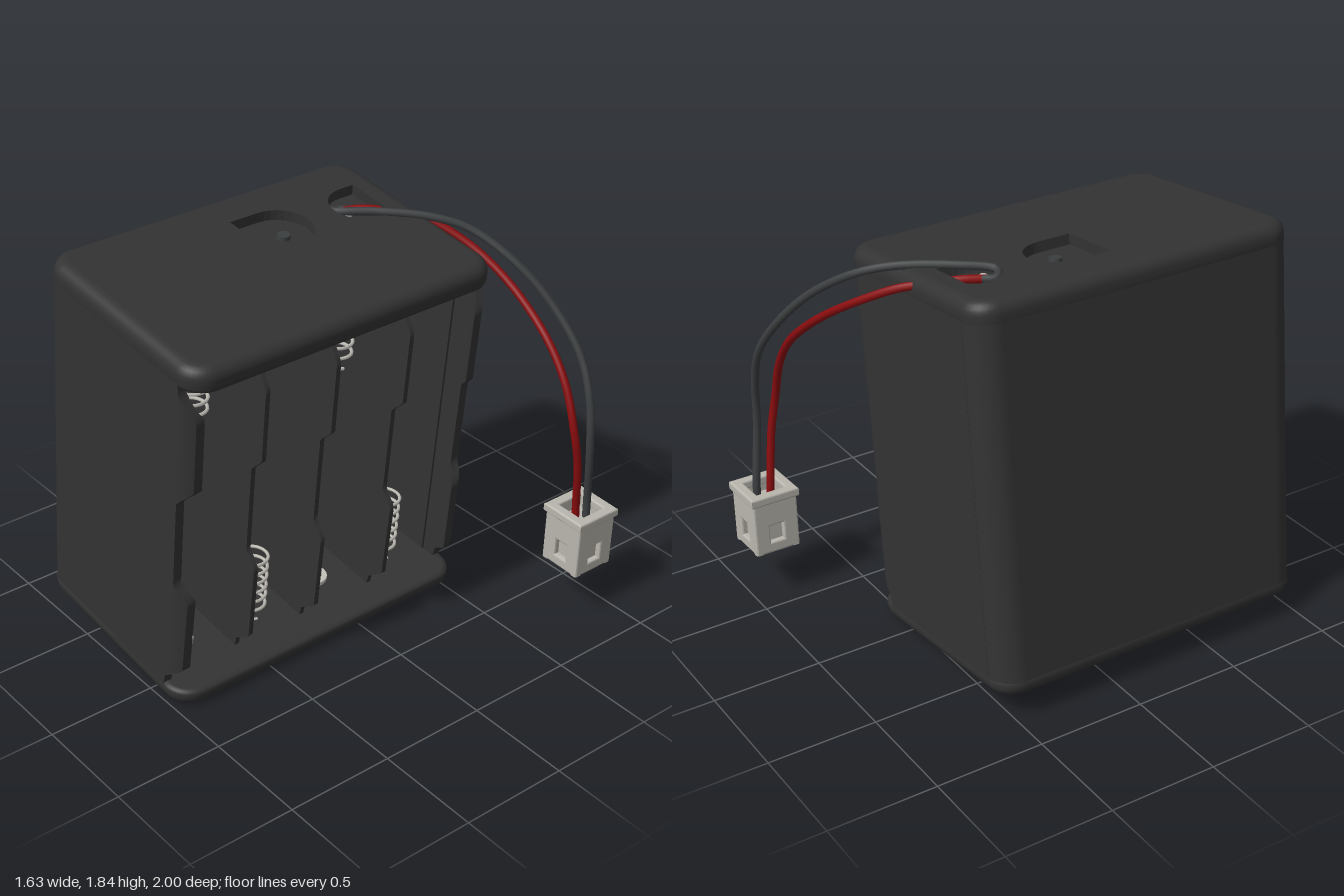
import * as THREE from 'three';
import { RoundedBoxGeometry } from 'three/addons/geometries/RoundedBoxGeometry.js';

const mat = (name, color, side = THREE.FrontSide) => {
  const m = new THREE.MeshStandardMaterial({ color, side });
  m.name = name;
  return m;
};

// Case size in its own frame: depth (x), height (y), half width (z)
const D = 1.06, H = 1.748, W = 0.785, R = 0.12;

export function createModel() {
  const black = mat('black plastic', 0x333333);
  const metal = mat('spring steel', 0xc4c1ba);
  const red = mat('red wire', 0x8a0c0e);
  const grey = mat('dark grey wire', 0x3b3e3f);
  const white = mat('off-white plastic', 0xb9b6ae);

  const model = new THREE.Group();
  const box = new THREE.Group();
  box.name = 'batteryCase';
  box.position.set(-0.825, 0.118, 0.215);
  box.rotation.z = -0.1134;
  model.add(box);

  const add = (parent, name, geo, material, x = 0, y = 0, z = 0) => {
    const m = new THREE.Mesh(geo, material);
    m.name = name;
    m.position.set(x, y, z);
    parent.add(m);
    return m;
  };

  // Rounded rectangle outline of the case in plan
  const outline = (inset) => {
    const pts = [], r = R - inset;
    const corners = [[D - R, R - W], [D - R, W - R], [R, W - R], [R, R - W]];
    corners.forEach(([cx, cy], k) => {
      for (let i = 0; i <= 8; i++) {
        const a = (k - 1 + i / 8) * Math.PI / 2;
        pts.push(new THREE.Vector2(cx + r * Math.cos(a), cy + r * Math.sin(a)));
      }
    });
    return pts;
  };
  const slab = (shape, depth) =>
    new THREE.ExtrudeGeometry(shape, { depth, bevelEnabled: false, curveSegments: 16 }).rotateX(-Math.PI / 2);

  // Rounded skin through plan outlines, rows of [inset, height] from low to high
  const rim = (rows) => {
    const pos = [], idx = [], n = 36;
    rows.forEach(([inset, y]) => outline(inset).forEach((p) => pos.push(p.x, y, -p.y)));
    for (let i = 0; i < rows.length - 1; i++) {
      for (let j = 0; j < n; j++) {
        const a = i * n + j, b = i * n + (j + 1) % n;
        idx.push(a, b, b + n, a, b + n, a + n);
      }
    }
    const g = new THREE.BufferGeometry();
    g.setAttribute('position', new THREE.Float32BufferAttribute(pos, 3));
    g.setIndex(idx);
    g.computeVertexNormals();
    return g;
  };
  const E = 0.055;
  const topRows = [[0.02, 1.64], [0.006, 1.646], [0, 1.66]];
  for (let i = 0; i <= 6; i++) {
    const a = i / 6 * Math.PI / 2;
    topRows.push([E * (1 - Math.cos(a)), H - E + E * Math.sin(a)]);
  }
  const bottomRows = topRows.map(([inset, y]) => [inset, (H - y) * (y < 1.67 ? 0.8 : 1)]).reverse();

  // D-shaped recess: flat end at yFlat, round end about yMid
  const recess = (x, yFlat, yMid, r) => {
    const s = Math.sign(yMid - yFlat), pts = [new THREE.Vector2(x - s * r, yFlat), new THREE.Vector2(x + s * r, yFlat)];
    for (let i = 0; i <= 16; i++) {
      const a = i / 16 * Math.PI;
      pts.push(new THREE.Vector2(x + s * r * Math.cos(a), yMid + s * r * Math.sin(a)));
    }
    return new THREE.Path(pts);
  };

  // Top and bottom caps
  const lid = new THREE.Shape(outline(E));
  lid.holes.push(recess(0.362, 0.665, 0.591, 0.136), recess(0.352, 0.015, 0.165, 0.15));
  add(box, 'topRim', rim(topRows), black);
  add(box, 'topPlate', slab(lid, 0.05), black, 0, H - 0.05);
  add(box, 'topSlab', slab(new THREE.Shape(outline(0.02)), 0.06), black, 0, 1.64);
  add(box, 'bottomRim', rim(bottomRows), black);
  add(box, 'bottomPlate', slab(new THREE.Shape(outline(E)), 0.03), black);
  add(box, 'bottomSlab', slab(new THREE.Shape(outline(0.02)), 0.066), black, 0, 0.02);
  add(box, 'wireRivet', new THREE.SphereGeometry(0.027, 14, 8), metal, 0.355, H - 0.04, -0.53);
  add(box, 'recessRivet', new THREE.CylinderGeometry(0.028, 0.03, 0.02, 16), grey, 0.362, H - 0.04, -0.18);

  // Back wall with rounded corners, open to the front
  const shell = new THREE.Shape();
  const o = W - 0.001, t = 0.05, f = 0.86;
  shell.moveTo(f, o).lineTo(R, o).absarc(R, o - R, R - 0.001, Math.PI / 2, Math.PI, false);
  shell.lineTo(0.001, R - o).absarc(R, R - o, R - 0.001, Math.PI, Math.PI * 1.5, false);
  shell.lineTo(f, -o).lineTo(f, t - o).lineTo(0.08, t - o).lineTo(0.08, o - t).lineTo(f, o - t);
  add(box, 'backShell', slab(shell, H - 0.11), black, 0, 0.055);

  // Notched front edge shared by the side walls and dividers: [height, depth]
  const edge = [[0.05, 0.92], [0.137, 0.935], [0.2, 1.018], [0.59, 1.027], [0.656, 0.967],
    [1.089, 0.968], [1.156, 1.031], [1.508, 1.031], [1.61, 0.96], [1.66, 0.955]];
  const edgeAt = (y) => {
    const i = Math.max(1, edge.findIndex((p) => p[0] >= y));
    const [a, b] = [edge[i - 1], edge[i]];
    return THREE.MathUtils.mapLinear(y, a[0], b[0], a[1], b[1]);
  };
  const panel = (x0, z, thick, back, bend) => {
    const g = new THREE.BoxGeometry(1, 1.6, thick, 12, 64, 1);
    const p = g.attributes.position;
    for (let i = 0; i < p.count; i++) {
      const y = Math.min(1.6599, p.getY(i) + 0.86);
      const x = x0 + (p.getX(i) + 0.5) * (edgeAt(y) - back - x0);
      const d = Math.max(0, x - (D - R));
      const inset = bend ? R - Math.sqrt(R * R - d * d) : 0;
      p.setXYZ(i, x, y, z + p.getZ(i) - Math.sign(z) * inset);
    }
    g.computeVertexNormals();
    return g;
  };
  for (const s of [1, -1]) add(box, s > 0 ? 'frontSideWall' : 'rearSideWall', panel(0.8, s * (W - 0.021), 0.04, 0, true), black);
  for (const z of [0.38, 0.02, -0.37]) add(box, 'cellDivider', panel(0.05, z, 0.022, 0.02, false), black);

  // Springs and contact studs
  const spring = (len) => {
    const pts = [];
    for (let i = 0; i <= 78; i++) {
      const a = i / 12 * Math.PI * 2;
      pts.push(new THREE.Vector3(0.083 * Math.cos(a), len * i / 78, 0.083 * Math.sin(a)));
    }
    return new THREE.TubeGeometry(new THREE.CatmullRomCurve3(pts), 160, 0.008, 5);
  };
  const contact = (x, z, springOnTop) => {
    add(box, 'spring', spring(0.34), metal, x, springOnTop ? 1.3 : 0.086, z);
    const y = springOnTop ? 0.086 : 1.64, s = springOnTop ? 1 : -1;
    add(box, 'contactPlate', new THREE.CylinderGeometry(0.065, 0.065, 0.02, 18), metal, x, y + s * 0.01, z);
    add(box, 'contactStud', new THREE.CylinderGeometry(0.035, 0.04, 0.06, 14), metal, x, y + s * 0.05, z);
  };
  contact(0.74, 0.575, true);
  contact(0.74, 0.205, false);
  contact(0.74, -0.175, true);
  contact(0.74, -0.555, false);
  contact(0.3, -0.555, true);

  // Wires
  const wire = (name, material, pts) => add(model, name, new THREE.TubeGeometry(
    new THREE.CatmullRomCurve3(pts.map((p) => new THREE.Vector3(...p))), 90, 0.018, 10), material);
  wire('redWire', red, [[-0.3, 1.785, -0.31], [-0.25, 1.785, -0.4], [-0.18, 1.765, -0.5], [-0.1, 1.74, -0.6],
    [0.05, 1.65, -0.71], [0.2, 1.55, -0.77], [0.36, 1.43, -0.8], [0.52, 1.29, -0.805], [0.63, 1.14, -0.8],
    [0.7, 0.95, -0.795], [0.71, 0.78, -0.82], [0.69, 0.53, -0.85], [0.69, 0.43, -0.855]]);
  wire('greyWire', grey, [[-0.29, 1.785, -0.33], [-0.32, 1.79, -0.28], [-0.28, 1.805, -0.25], [-0.16, 1.81, -0.38],
    [0, 1.79, -0.56], [0.12, 1.74, -0.68], [0.3, 1.61, -0.79], [0.45, 1.45, -0.865], [0.6, 1.25, -0.905],
    [0.685, 1.06, -0.895], [0.715, 0.85, -0.885], [0.69, 0.53, -0.92], [0.69, 0.43, -0.92]]);

  // Plug: four windowed walls around a core, with an open rim on top
  const plug = new THREE.Group();
  plug.name = 'plug';
  plug.position.set(0.685, 0.38, -0.885);
  plug.rotation.z = -0.035;
  model.add(plug);
  const rect = (C, w, y0, y1) => new C([[-w, y0], [w, y0], [w, y1], [-w, y1]].map((p) => new THREE.Vector2(...p)));
  const wall = rect(THREE.Shape, 0.1, -0.135, 0.125);
  wall.holes.push(rect(THREE.Path, 0.042, -0.1, 0));
  const wallGeo = new THREE.ExtrudeGeometry(wall, { depth: 0.022, bevelSize: 0.008, bevelThickness: 0.008, bevelSegments: 2 });
  for (let i = 0; i < 4; i++) {
    add(plug, 'plugWall', wallGeo.clone().translate(0, 0, 0.078).rotateY(i * Math.PI / 2), white);
  }
  add(plug, 'plugCore', new RoundedBoxGeometry(0.165, 0.22, 0.165, 2, 0.01), white, 0, -0.032, 0);
  const ring = rect(THREE.Shape, 0.108, -0.108, 0.108);
  ring.holes.push(rect(THREE.Path, 0.078, -0.078, 0.078));
  add(plug, 'plugRim', new THREE.ExtrudeGeometry(ring, { depth: 0.025, bevelSize: 0.009, bevelThickness: 0.009, bevelSegments: 3 })
    .rotateX(-Math.PI / 2), white, 0, 0.115, 0);
  add(plug, 'plugBase', new RoundedBoxGeometry(0.21, 0.03, 0.21, 3, 0.012), white, 0, -0.134, 0);

  return model;
}
